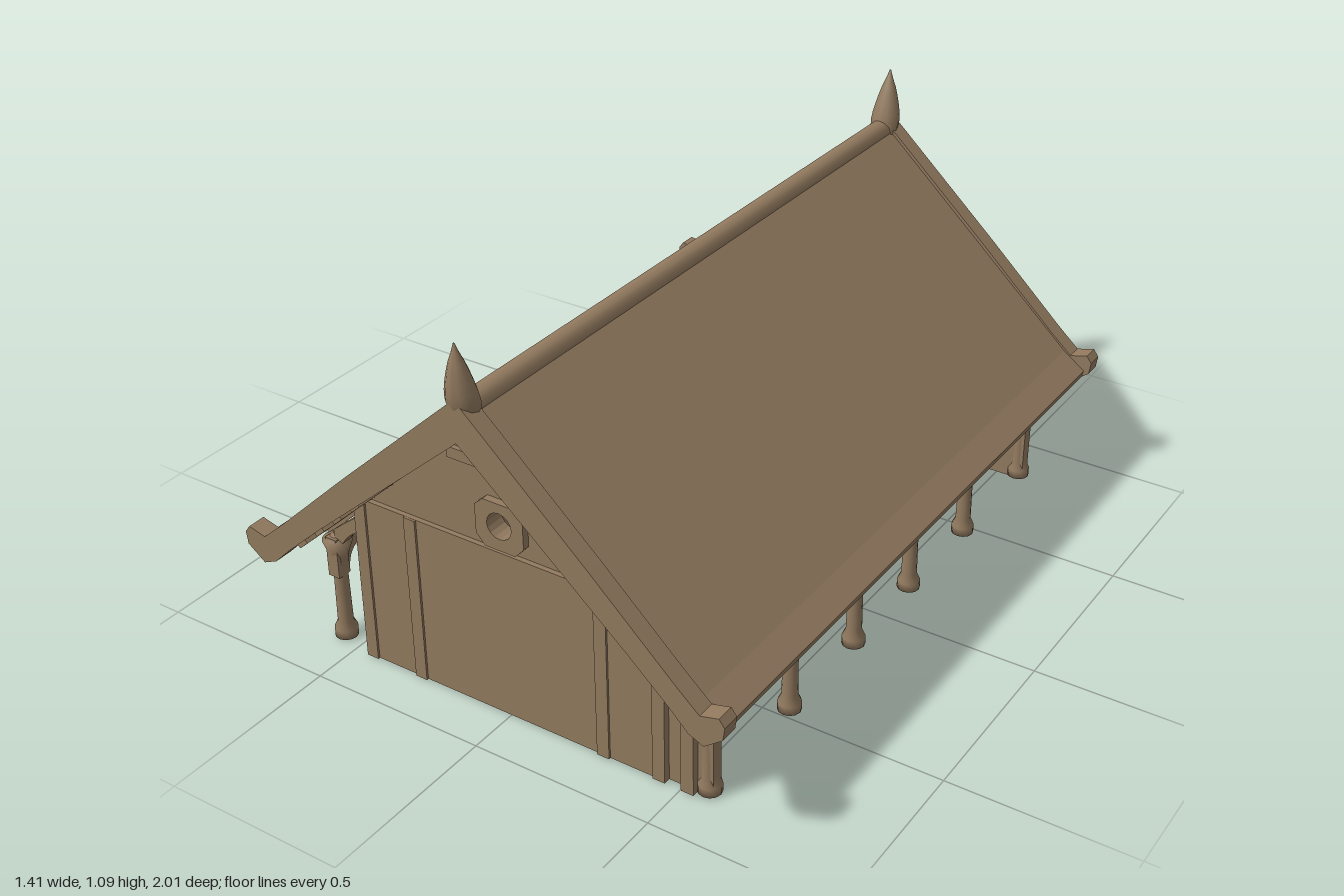
import * as THREE from 'three';

const SLOPE = 0.92, ANGLE = Math.atan(SLOPE);
const WALL_Z = 0.83, POST_X = 0.56, WALL_X = 0.46;
const POST_Z = [-0.83, -0.47, -0.15, 0.15, 0.47, 0.83];
const underside = (x) => 0.885 - SLOPE * Math.abs(x);

export function createModel() {
  const house = new THREE.Group();
  house.name = 'timberHall';
  const wood = new THREE.MeshStandardMaterial({ color: 0x927a5f });

  const add = (name, geometry, x = 0, y = 0, z = 0) => {
    const mesh = new THREE.Mesh(geometry, wood);
    mesh.name = name;
    mesh.position.set(x, y, z);
    house.add(mesh);
    return mesh;
  };
  const box = (name, w, h, d, x, y, z) => add(name, new THREE.BoxGeometry(w, h, d), x, y, z);
  const shapeOf = (points) => new THREE.Shape(points.map(([x, y]) => new THREE.Vector2(x, y)));
  const mirrored = (half) => [...half, ...half.slice(1, -1).reverse().map(([x, y]) => [-x, y])];
  // Extrusion centred on its own thickness
  const slab = (shape, depth) => new THREE.ExtrudeGeometry(shape, { depth, bevelEnabled: false, curveSegments: 8 })
    .translate(0, 0, -depth / 2);

  // Roof: one chevron section along the whole length
  const roof = mirrored([[0, 0.95], [0.62, 0.382], [0.685, 0.335], [0.68, 0.315], [0.64, 0.305], [0.62, 0.315], [0, 0.885]]);
  add('roof', slab(shapeOf(roof), 1.96));
  const ridge = new THREE.CylinderGeometry(0.032, 0.032, 1.94, 12).rotateX(Math.PI / 2);
  add('ridgeRoll', ridge, 0, 0.924, 0);

  // Barge boards with upturned tips
  const barge = mirrored([[0, 0.962], [0.35, 0.642], [0.575, 0.43], [0.64, 0.372], [0.69, 0.385], [0.705, 0.365],
    [0.7, 0.33], [0.65, 0.292], [0.61, 0.31], [0.56, 0.36], [0.45, 0.46], [0, 0.85]]);

  // Gable wall outline; holes for the round window and a small gap beside it
  const gableShape = (leftX, rightX) => {
    const s = shapeOf([[leftX, 0.005], [rightX, 0.005], [rightX, underside(rightX)], [0, 0.885], [leftX, underside(leftX)]]);
    const eye = new THREE.Path();
    eye.absarc(0, 0.56, 0.036, 0, Math.PI * 2, true);
    const gap = new THREE.Path([[0.305, 0.498], [0.31, 0.53], [0.37, 0.498]].map(([x, y]) => new THREE.Vector2(x, y)));
    s.holes.push(eye, gap);
    return s;
  };

  // Window surround
  const surround = shapeOf([[-0.07, -0.04], [-0.045, -0.068], [0.045, -0.068], [0.07, -0.04],
    [0.07, 0.04], [0.045, 0.062], [-0.045, 0.062], [-0.07, 0.04]]);
  const surroundHole = new THREE.Path();
  surroundHole.absarc(0, 0, 0.036, 0, Math.PI * 2, true);
  surround.holes.push(surroundHole);

  // Finial: a round horn bending outwards to a point
  const finialGeometry = (side) => {
    const g = new THREE.CylinderGeometry(1, 1, 1, 12, 8);
    const p = g.attributes.position;
    const radius = new THREE.SplineCurve([[0.036, 0], [0.042, 0.2], [0.034, 0.45], [0.02, 0.72], [0.002, 1]]
      .map(([r, t]) => new THREE.Vector2(r, t)));
    for (let i = 0; i < p.count; i++) {
      const t = p.getY(i) + 0.5, r = radius.getPoint(t).x;
      p.setXYZ(i, p.getX(i) * r, 0.9 + 0.195 * t, side * (0.946 + 0.036 * Math.sqrt(t)) + p.getZ(i) * r * 0.9);
    }
    g.computeVertexNormals();
    return g;
  };

  for (const side of [1, -1]) {
    const z = side * WALL_Z;
    const left = side > 0 ? -WALL_X : -0.58;
    add('bargeBoard', slab(shapeOf(barge), 0.05), 0, 0, side * 0.972);
    add('finial', finialGeometry(side));
    add('gableWall', slab(gableShape(left, 0.58), 0.035), 0, 0, z);
    box('lowerGablePanel', 0.88, 0.475, 0.03, 0, 0.243, z + side * 0.016);
    box('collarBeam', 0.3, 0.03, 0.03, 0, 0.712, z + side * 0.016);
    add('windowSurround', slab(surround, 0.035), 0, 0.56, z + side * 0.02);
    // Upright boards on the gable
    for (const x of [-0.44, -0.28, 0.28, 0.44, 0.52, -0.52]) {
      if (x < left) continue;
      const h = Math.min(0.475, underside(x));
      box('gablePost', 0.035, h, 0.03, x, h / 2 + 0.005, z + side * 0.022);
    }
    // Purlin ends under the gable overhang
    for (const s of [1, -1]) for (let i = 0; i < 9; i++) {
      const x = s * (0.05 + i * 0.062);
      box('purlinEnd', 0.036, 0.03, 0.15, x, underside(x) - 0.004, side * 0.895).rotation.z = -s * ANGLE;
    }
  }

  // Raised frame on the back gable
  const frame = shapeOf([[-0.07, -0.055], [0.07, -0.055], [0.07, 0.055], [-0.07, 0.055]]);
  frame.holes.push(new THREE.Path([[-0.045, -0.03], [-0.045, 0.03], [0.045, 0.03], [0.045, -0.03]]
    .map(([x, y]) => new THREE.Vector2(x, y))));
  add('backFrame', slab(frame, 0.03), 0.02, 0.22, -WALL_Z - 0.035);

  // Arcade beam with rounded bay corners, drawn along the length
  const arcade = new THREE.Shape();
  arcade.moveTo(-0.855, 0.315);
  arcade.lineTo(-0.855, 0.2);
  for (let i = 0; i < 5; i++) {
    const a = POST_Z[i] + 0.016, b = POST_Z[i + 1] - 0.016;
    arcade.lineTo(a, 0.2);
    arcade.quadraticCurveTo(a, 0.275, a + 0.06, 0.275);
    arcade.lineTo(b - 0.06, 0.275);
    arcade.quadraticCurveTo(b, 0.275, b, 0.2);
  }
  arcade.lineTo(0.855, 0.2);
  arcade.lineTo(0.855, 0.315);

  const postProfile = [[0, 0], [0.031, 0.004], [0.031, 0.028], [0.021, 0.05], [0.019, 0.2], [0.024, 0.255], [0.04, 0.3], [0, 0.32]]
    .map(([r, y]) => new THREE.Vector2(r, y));

  for (const s of [1, -1]) {
    // Long wall with vertical ribs
    const wallTop = underside(WALL_X);
    box('longWall', 0.03, wallTop, 1.66, s * (WALL_X - 0.01), wallTop / 2 + 0.005, 0);
    for (let i = 0; i < 16; i++) {
      box('wallRib', 0.02, wallTop - 0.02, 0.03, s * (WALL_X + 0.01), wallTop / 2, -0.78 + i * 0.104);
    }
    // Open arcade under the eaves
    add('arcadeBeam', slab(arcade, 0.035).rotateY(Math.PI / 2), s * POST_X, 0, 0);
    for (const z of POST_Z) {
      add('arcadePost', new THREE.LatheGeometry(postProfile, 12), s * POST_X, 0.004, z);
      // Bracket from the post in to the wall
      const bracket = new THREE.Shape();
      bracket.moveTo(0, 0.22);
      bracket.quadraticCurveTo(-0.01, 0.33, -0.1, 0.37);
      bracket.lineTo(-0.1, 0.42);
      bracket.lineTo(0, 0.34);
      const mesh = add('bracket', slab(bracket, 0.03), s * (POST_X - 0.005), 0, z);
      if (s < 0) mesh.rotation.y = Math.PI;
    }
    // Rafters under the roof
    for (let i = 0; i < 15; i++) {
      const x = s * 0.32;
      box('rafter', 0.61 / Math.cos(ANGLE), 0.035, 0.04, x, underside(x) - 0.012, -0.784 + i * 0.112).rotation.z = -s * ANGLE;
    }
  }
  return house;
}
